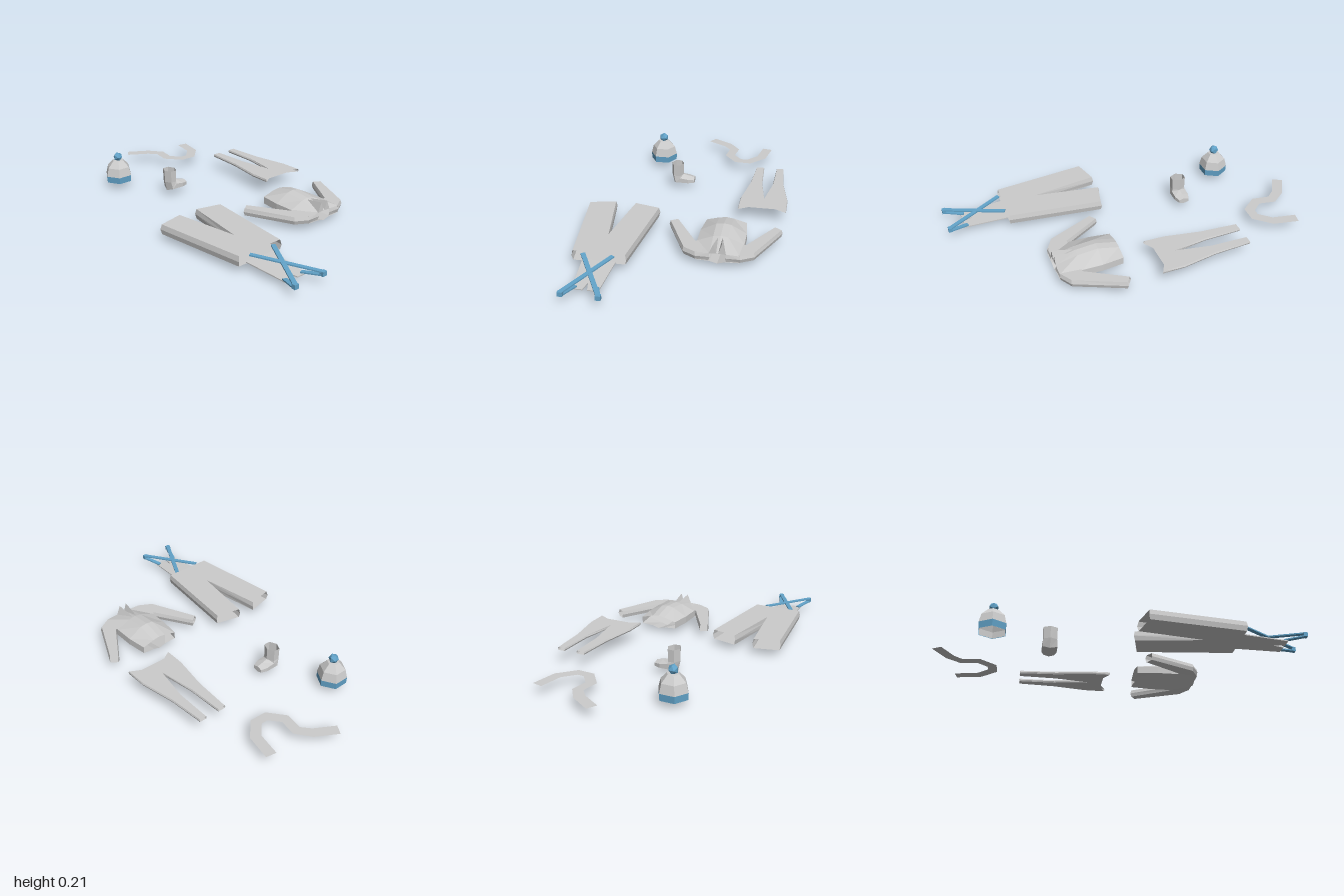
import * as THREE from 'three';

const grey = new THREE.MeshStandardMaterial({ color: 0xcccccc, flatShading: true, side: THREE.DoubleSide });
const blue = new THREE.MeshStandardMaterial({ color: 0x62a3c9, flatShading: true, side: THREE.DoubleSide });

function geometry(positions, index) {
  const g = new THREE.BufferGeometry();
  g.setAttribute('position', new THREE.Float32BufferAttribute(positions, 3));
  g.setIndex(index);
  const flat = g.toNonIndexed();
  flat.computeVertexNormals();
  return flat;
}

function part(name, geo, material = grey) {
  const mesh = new THREE.Mesh(geo, material);
  mesh.name = name;
  return mesh;
}

// Flat hollow garment from an [x, z] outline; sides bulge at mid height, edges listed in open stay open
function garment(outline, y0, y1, inset, open = []) {
  let pts = outline.map(([x, z]) => new THREE.Vector2(x, z));
  const n = pts.length;
  const sign = Math.sign(THREE.ShapeUtils.area(pts));
  const normal = (i) => {
    const d = pts[(i + 1) % n].clone().sub(pts[i]).normalize();
    return new THREE.Vector2(-d.y * sign, d.x * sign);
  };
  const inner = pts.map((p, i) => {
    const m = normal(i).add(normal((i + n - 1) % n)).normalize();
    return p.clone().addScaledVector(m, inset);
  });
  const pos = [];
  [[inner, y0], [pts, (y0 + y1) / 2], [inner, y1]].forEach(([ring, y]) => ring.forEach((p) => pos.push(p.x, y, p.y)));
  const index = [];
  for (const [a, b, c] of THREE.ShapeUtils.triangulateShape(pts, [])) {
    if (sign > 0) index.push(a, b, c, a + 2 * n, c + 2 * n, b + 2 * n);
    else index.push(a, c, b, a + 2 * n, b + 2 * n, c + 2 * n);
  }
  for (let i = 0; i < n; i++) {
    if (open.includes(i)) continue;
    const j = (i + 1) % n;
    for (const k of [0, n]) {
      const q = [i + k, i + k + n, j + k + n, j + k];
      if (sign > 0) index.push(q[0], q[1], q[2], q[0], q[2], q[3]);
      else index.push(q[0], q[2], q[1], q[0], q[3], q[2]);
    }
  }
  return geometry(pos, index);
}

// Skin over equal-sized closed rings of points
function loft(rings, capEnd = false) {
  const n = rings[0].length;
  const index = [];
  for (let r = 0; r < rings.length - 1; r++) {
    for (let i = 0; i < n; i++) {
      const a = r * n + i, b = r * n + (i + 1) % n;
      index.push(a, b, b + n, a, b + n, a + n);
    }
  }
  const last = (rings.length - 1) * n;
  if (capEnd) for (let i = 1; i < n - 1; i++) index.push(last, last + i, last + i + 1);
  return geometry(rings.flat(2), index);
}

function bar(name, a, b, width, thick) {
  const from = new THREE.Vector3(...a), to = new THREE.Vector3(...b);
  const mesh = part(name, new THREE.BoxGeometry(width, thick, from.distanceTo(to)), blue);
  mesh.position.copy(from).add(to).multiplyScalar(0.5);
  mesh.lookAt(to);
  return mesh;
}

function group(name, ...children) {
  const g = new THREE.Group();
  g.name = name;
  g.add(...children);
  return g;
}

function makeScarf() {
  const path = [[-0.973, 0.005], [-0.904, -0.11], [-0.84, -0.16], [-0.743, -0.144],
    [-0.668, -0.205], [-0.665, -0.273], [-0.743, -0.347], [-0.882, -0.374]].map((p) => new THREE.Vector2(...p));
  const pos = [], index = [];
  path.forEach((p, i) => {
    const d = path[Math.min(i + 1, path.length - 1)].clone().sub(path[Math.max(i - 1, 0)]).normalize();
    pos.push(p.x - d.y * 0.03, 0.062, p.y + d.x * 0.03, p.x + d.y * 0.03, 0.062, p.y - d.x * 0.03);
    if (i) index.push(2 * i - 2, 2 * i, 2 * i - 1, 2 * i - 1, 2 * i, 2 * i + 1);
  });
  return part('scarf', geometry(pos, index));
}

function makeHat() {
  const lathe = (profile) => new THREE.LatheGeometry(profile.map((p) => new THREE.Vector2(...p)), 6);
  const pompom = part('pompom', new THREE.IcosahedronGeometry(0.028), blue);
  pompom.position.y = 0.189;
  const hat = group('hat',
    part('hatBand', lathe([[0.081, 0.042], [0.083, 0.08]]), blue),
    part('hatLining', lathe([[0.078, 0.043], [0.08, 0.08]])),
    part('hatCrown', lathe([[0.083, 0.08], [0.07, 0.13], [0.034, 0.168], [0, 0.172]])),
    pompom);
  hat.position.set(-0.668, 0, 0.28);
  return hat;
}

function makeBoot() {
  // [centre y, centre z, half width, half depth, tilt]
  const rings = [[0.16, 0.127, 0.046, 0.037, 0], [0.09, 0.127, 0.044, 0.036, 0],
    [0.062, 0.122, 0.048, 0.04, 0.8], [0.058, 0.06, 0.048, 0.023, 1.57], [0.056, 0.024, 0.034, 0.017, 1.57]]
    .map(([y, z, rx, r, t]) => Array.from({ length: 6 }, (_, i) => {
      const a = Math.PI / 2 + i * Math.PI / 3, s = Math.sin(a) * r;
      return [-0.355 + Math.cos(a) * rx, y - s * Math.sin(t), z + s * Math.cos(t)];
    }));
  return part('boot', loft(rings, true));
}

function makeLeggings() {
  return part('leggings', garment([[-0.505, -0.508], [-0.289, -0.524], [-0.09, -0.561], [0.037, -0.561],
    [0.005, -0.497], [0.005, -0.348], [0.037, -0.292], [-0.085, -0.292], [-0.289, -0.326], [-0.505, -0.34],
    [-0.505, -0.388], [-0.289, -0.397], [-0.09, -0.427], [-0.289, -0.459], [-0.505, -0.464]],
  0.085, 0.102, 0.004, [3, 4, 5, 9, 14]));
}

function makeSweater() {
  const zc = -0.248;
  // Padded body: [x, half width, top y, bottom y, shoulder-line y]
  const rings = [[0.176, 0.11, 0.105, 0.025], [0.295, 0.125, 0.131, 0.005], [0.41, 0.125, 0.12, 0.008], [0.533, 0.115, 0.09, 0.026]]
    .map(([x, w, t, b]) => [[w, 0.08], [0.04, t - 0.006], [0, t], [-0.04, t - 0.006], [-w, 0.08],
      [-w, 0.04], [-0.04, b + 0.011], [0, b], [0.04, b + 0.011], [w, 0.04]].map(([z, y]) => [x, y, zc + z]));
  const sweater = group('sweater', part('sweaterBody', loft(rings)));
  for (const s of [1, -1]) {
    const side = s > 0 ? 'left' : 'right';
    const outline = [[0.195, 0.265], [0.225, 0.31], [0.495, 0.188], [0.535, 0.118], [0.535, 0.04], [0.41, 0.04], [0.41, 0.132]]
      .map(([x, z]) => [x, zc + s * z]);
    sweater.add(part(side + 'Sleeve', garment(outline, 0.04, 0.082, 0.007, [0, 4, 5])));
    // Raised collar flap beside the neck opening
    const z = (d) => zc + s * d;
    sweater.add(part(side + 'Collar', geometry([0.42, 0.116, z(0.012), 0.533, 0.136, z(0.022),
      0.533, 0.082, z(0.045), 0.533, 0.085, z(0.004)], [0, 1, 2, 0, 3, 1, 1, 3, 2])));
  }
  return sweater;
}

function makeOveralls() {
  const zc = 0.342;
  const trousers = part('trousers', garment([[0.084, 0.289], [0.12, 0.137], [0.658, 0.198], [0.658, 0.484],
    [0.12, 0.549], [0.084, 0.395], [0.455, zc]], 0.042, 0.098, 0.008, [0, 2, 4]));
  // Sloping bib panel with a notch in its top edge
  const bib = part('bib', garment([[0.65, 0.255], [0.9, 0.274], [0.9, 0.33], [0.84, zc],
    [0.9, 0.354], [0.9, 0.41], [0.65, 0.429]], -0.003, 0.003, 0));
  bib.geometry.translate(-0.65, 0, 0);
  bib.position.set(0.65, 0.047, 0);
  bib.rotation.z = -0.05;
  const overalls = group('overalls', trousers, bib);
  // Crossed shoulder straps, folding back under to the bib
  for (const s of [1, -1]) {
    const zEnd = zc - s * 0.093;
    overalls.add(
      bar('strapTop', [0.665, 0.093, zc + s * 0.078], [0.985, 0.07, zEnd], 0.024, 0.007),
      bar('strapUnder', [0.985, 0.054, zEnd], [0.88, 0.041, zc - s * 0.055], 0.024, 0.007));
    const fold = part('strapFold', new THREE.BoxGeometry(0.022, 0.024, 0.026), blue);
    fold.position.set(0.986, 0.062, zEnd);
    overalls.add(fold);
  }
  return overalls;
}

export function createModel() {
  return group('winterClothes', makeScarf(), makeHat(), makeBoot(), makeLeggings(), makeSweater(), makeOveralls());
}
